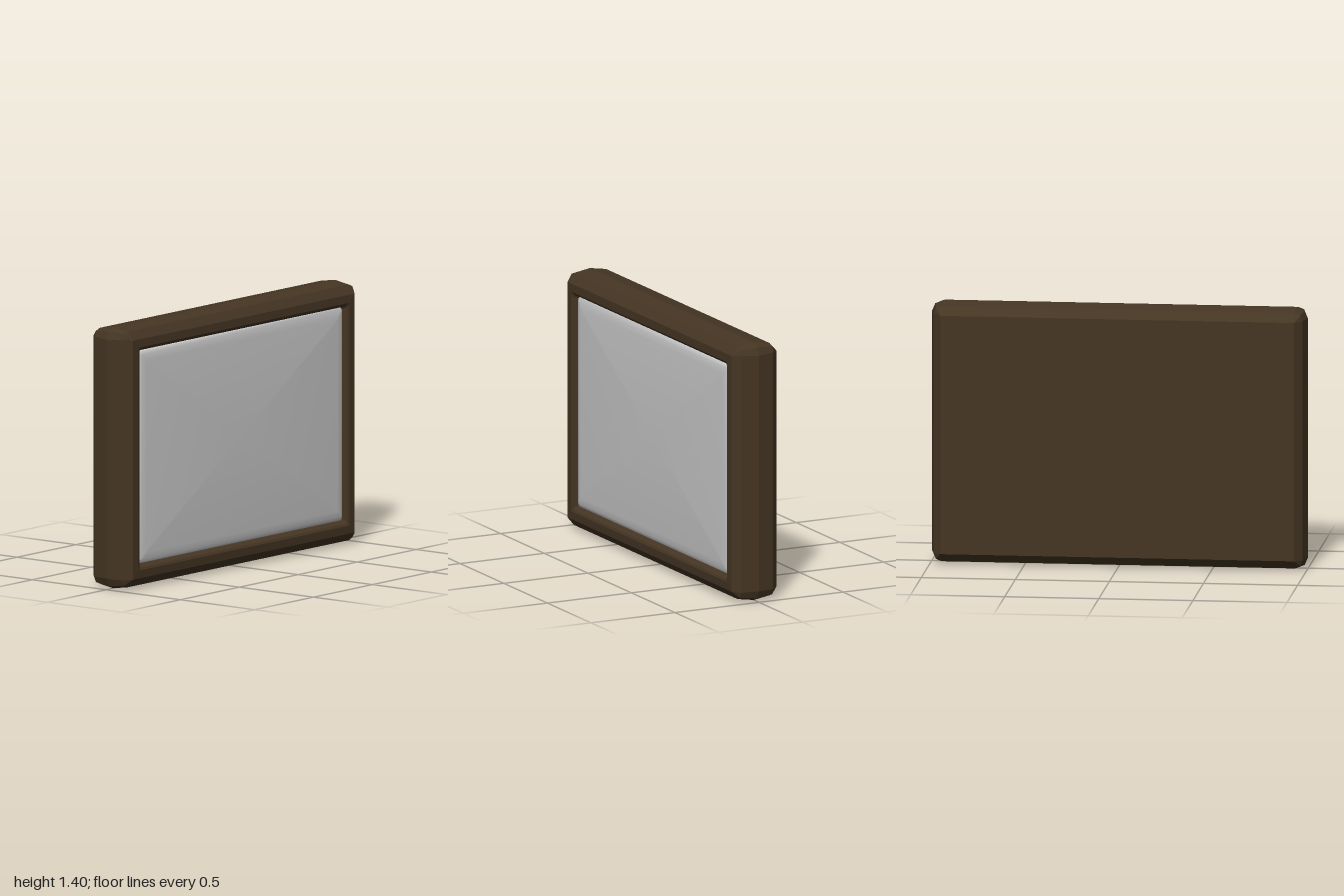
import * as THREE from 'three';
import { toCreasedNormals } from 'three/addons/utils/BufferGeometryUtils.js';

// Rectangular ring with three points per corner: a = corner length, b = inset of its middle point
function ring([w, h, a, b, z]) {
  const corner = [[w, h - a], [w - b, h - b], [w - a, h]];
  const mirrored = [...corner].reverse();
  return [
    ...corner,
    ...mirrored.map(([x, y]) => [-x, y]),
    ...corner.map(([x, y]) => [-x, -y]),
    ...mirrored.map(([x, y]) => [x, -y]),
  ].map(([x, y]) => new THREE.Vector3(x, y, z));
}

// Skin a series of rings running from back to front, with optional flat caps
function loft(sections, capBack, capFront) {
  const rings = sections.map(ring);
  const positions = [];
  const area = new THREE.Triangle();
  const tri = (a, b, c) => {
    if (area.set(a, b, c).getArea() > 1e-9) {
      for (const p of [a, b, c]) positions.push(p.x, p.y, p.z);
    }
  };
  const n = rings[0].length;
  for (let k = 0; k < rings.length - 1; k++) {
    for (let i = 0; i < n; i++) {
      const j = (i + 1) % n;
      tri(rings[k][i], rings[k][j], rings[k + 1][j]);
      tri(rings[k][i], rings[k + 1][j], rings[k + 1][i]);
    }
  }
  const first = rings[0], last = rings[rings.length - 1];
  const backCentre = new THREE.Vector3(0, 0, first[0].z);
  const frontCentre = new THREE.Vector3(0, 0, last[0].z);
  for (let i = 0; i < n; i++) {
    const j = (i + 1) % n;
    if (capBack) tri(backCentre, first[j], first[i]);
    if (capFront) tri(frontCentre, last[i], last[j]);
  }
  const geometry = new THREE.BufferGeometry();
  geometry.setAttribute('position', new THREE.Float32BufferAttribute(positions, 3));
  geometry.computeVertexNormals();
  return geometry;
}

export function createModel() {
  const model = new THREE.Group();
  model.name = 'framedPanel';

  // Chunky bevelled frame with closed back and a shallow recess in front
  const frame = new THREE.Mesh(
    loft([
      [0.94, 0.64, 0, 0, -0.135],
      [0.98, 0.685, 0.042, 0.012, -0.095],
      [1.0, 0.7, 0.06, 0.018, 0],
      [0.98, 0.685, 0.042, 0.012, 0.095],
      [0.94, 0.64, 0, 0, 0.133],
      [0.895, 0.597, 0.012, 0.004, 0.135],
      [0.88, 0.585, 0.012, 0.004, 0.128],
      [0.868, 0.573, 0.012, 0.004, 0.1],
      [0.865, 0.57, 0.012, 0.004, 0.08],
    ], true, true),
    new THREE.MeshStandardMaterial({ color: 0x453523, flatShading: true }),
  );
  frame.name = 'frame';
  frame.position.y = 0.7;

  // Softly pillowed panel set into the recess
  const panel = new THREE.Mesh(
    toCreasedNormals(loft([
      [0.868, 0.571, 0.012, 0.004, 0.085],
      [0.868, 0.571, 0.012, 0.004, 0.102],
      [0.862, 0.565, 0.012, 0.004, 0.11],
      [0.845, 0.548, 0.012, 0.004, 0.116],
      [0.81, 0.513, 0.012, 0.004, 0.12],
    ], false, true), 1.0),
    new THREE.MeshStandardMaterial({ color: 0xcccccc }),
  );
  panel.name = 'panel';
  panel.position.y = 0.703;

  model.add(frame, panel);
  return model;
}
